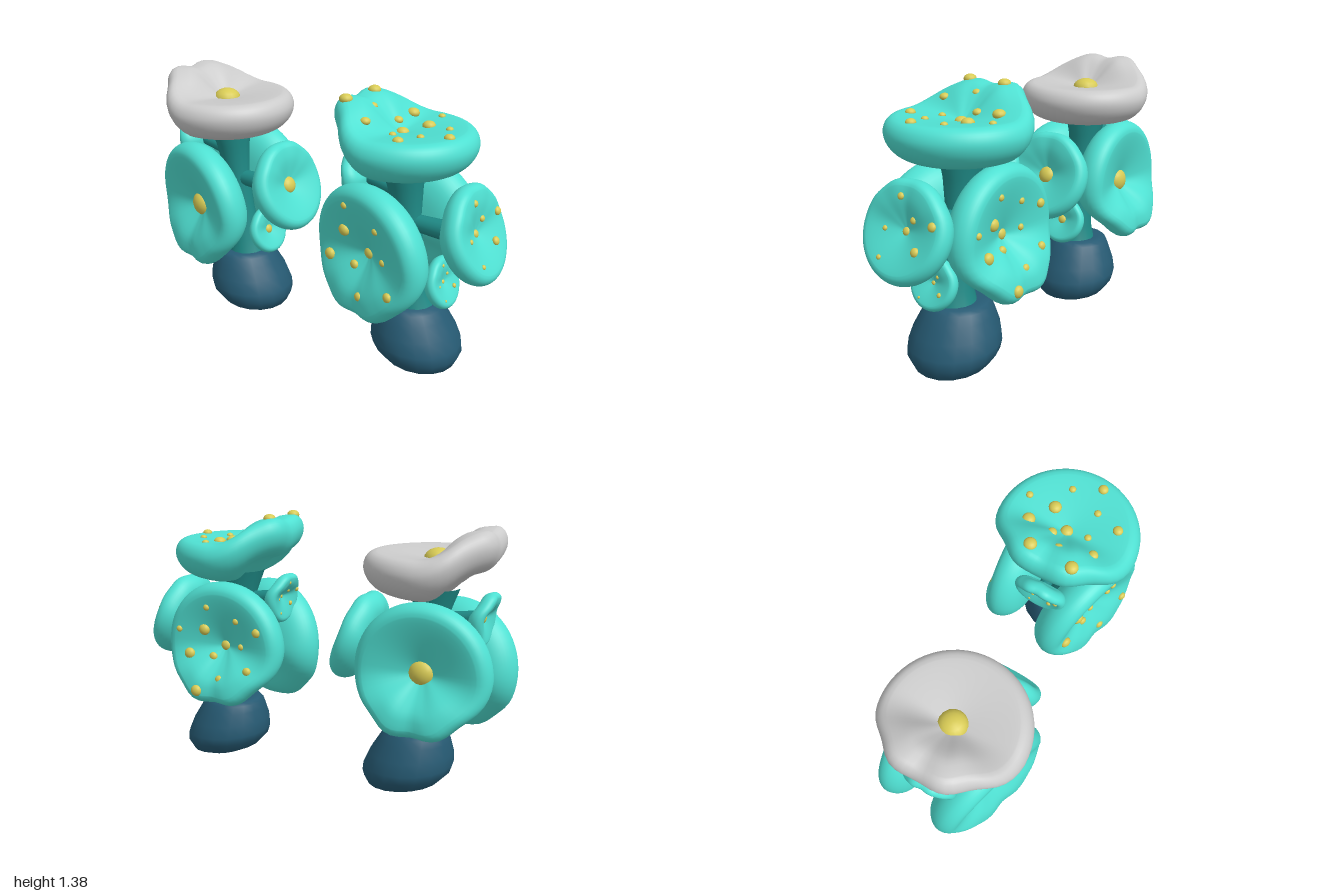
import * as THREE from 'three';
import { mergeVertices } from 'three/addons/utils/BufferGeometryUtils.js';

const mat = (color) => new THREE.MeshStandardMaterial({ color });
const TEAL = mat(0x4fe0d2), GREY = mat(0xcccccc), STEM = mat(0x1f8a86), POT = mat(0x265a73), GOLD = mat(0xd8cb55);
const V = (a) => new THREE.Vector3(...a);
const profile = (points) => points.map((p) => new THREE.Vector2(...p));

function addMesh(parent, name, geometry, material) {
  const m = new THREE.Mesh(geometry, material);
  m.name = name;
  parent.add(m);
  return m;
}

// Lathe welded along its seam, with every vertex moved by a rule
function warpedLathe(points, segments, rule) {
  let g = new THREE.LatheGeometry(points, segments);
  g.deleteAttribute('uv');
  g.deleteAttribute('normal');
  const p = g.attributes.position, v = new THREE.Vector3();
  for (let i = 0; i < p.count; i++) {
    rule(v.fromBufferAttribute(p, i));
    p.setXYZ(i, v.x, v.y, v.z);
  }
  g = mergeVertices(g, 1e-5);
  g.computeVertexNormals();
  return g;
}

// Unit pad: dished top, thick round rim, one sector (towards -z) folded up
const dishHeight = (r, dish) => -dish * Math.pow(Math.max(0, 1 - r / 0.82), 1.35);
const lobe = (x, z) => 1 - THREE.MathUtils.smoothstep(Math.abs(Math.atan2(x, -z)), 0.5, 1.6);
function foldHeight(x, z, lift) {
  const r = Math.hypot(x, z), a = Math.atan2(x, -z);
  const rise = lift * lobe(x, z) * THREE.MathUtils.smoothstep(r, 0, 0.65);
  const notch = 0.1 * lift * Math.exp(-Math.pow(a / 0.2, 2)) * r;
  const ripple = 0.012 * Math.cos(a * 9) * lobe(x, z) * r;
  return rise - notch - ripple;
}

function padGeometry(dish, lift) {
  const rim = profile([[0, -0.62], [0.3, -0.6], [0.6, -0.57], [0.82, -0.49], [0.95, -0.36], [1, -0.21], [0.97, -0.09], [0.9, -0.02], [0.82, 0]]);
  const pts = new THREE.SplineCurve(rim).getPoints(24);
  for (let i = 10; i >= 0; i--) pts.push(new THREE.Vector2(i * 0.075, dishHeight(i * 0.075, dish)));
  return warpedLathe(pts, 56, (v) => {
    if (Math.hypot(v.x, v.z) < 1e-4) return;
    const a = Math.atan2(v.x, -v.z);
    const shrink = 1 - (0.42 + 0.1 * Math.cos(a * 7)) * lift * lobe(v.x, v.z);
    v.y += foldHeight(v.x, v.z, lift);
    v.x *= shrink;
    v.z *= shrink;
  });
}

// Pads: rim centre, radius, facing direction, fold direction, dish depth, fold lift, spot count
const UP = [0, 1, 0], DOWN = [0, -1, 0];
const PADS = [
  { name: 'cap', at: [-0.01, 1.24, 0.465], R: 0.36, n: UP, l: [0, 0, -1], dish: 0.1, lift: 0.33, spots: 14 },
  { name: 'leftPad', at: [0.275, 0.695, 0.455], R: 0.34, n: [1, 0, 0], l: DOWN, dish: 0.22, lift: 0.28, spots: 12 },
  { name: 'rightPad', at: [-0.255, 0.63, 0.395], R: 0.35, n: [-0.95, -0.1, -0.28], l: DOWN, dish: 0.2, lift: 0.2, spots: 9 },
  { name: 'frontPad', at: [0, 0.805, 0.905], R: 0.243, n: [0, 0.43, 1], l: UP, dish: 0.2, lift: 0.1, spots: 7 },
  { name: 'lowerFrontPad', at: [0.007, 0.498, 0.735], R: 0.134, n: [0, 0.35, 1], l: UP, dish: 0.2, lift: 0.1, spots: 6 },
  { name: 'backPad', at: [0, 0.94, 0.2], R: 0.14, n: [0, -0.05, -1], l: UP, dish: 0.26, lift: 0.22, spots: 7 },
];

function createPad(d, material, spotted) {
  const group = new THREE.Group();
  group.name = d.name;
  const y = V(d.n).normalize();
  const x = V(d.l).cross(y).normalize();
  const z = x.clone().cross(y);
  group.quaternion.setFromRotationMatrix(new THREE.Matrix4().makeBasis(x, y, z));
  group.position.set(...d.at);
  addMesh(group, d.name + 'Body', padGeometry(d.dish, d.lift), material).scale.setScalar(d.R);

  // A spiral scatter of spots in mixed sizes, or one large central bead
  const count = spotted ? d.spots : 1;
  for (let i = 0; i < count; i++) {
    const r = i === 0 ? 0 : 0.8 * Math.sqrt(i / count), a = i * 2.4;
    const u = r * Math.sin(a), v = r * Math.cos(a);
    const size = spotted ? 0.05 + 0.02 * ((i * 2 + 2) % 3) : 0.2;
    const s = addMesh(group, 'spot', new THREE.SphereGeometry(size * d.R, 16, 10), GOLD);
    const fold = r > 0 ? foldHeight(u, v, d.lift) : 0;
    s.position.set(u, dishHeight(r, d.dish) + fold, v).multiplyScalar(d.R);
    s.scale.y = 0.75;
  }
  return group;
}

function createPlant(name, capMaterial, spotted) {
  const plant = new THREE.Group();
  plant.name = name;

  // Heavy rounded base, leaning and tilted towards the front at the bottom
  const base = profile([[0, 0.008], [0.11, 0.014], [0.19, 0.05], [0.228, 0.105], [0.232, 0.15], [0.215, 0.215],
    [0.183, 0.285], [0.163, 0.325], [0.145, 0.342], [0.11, 0.347], [0, 0.347]]);
  addMesh(plant, 'base', warpedLathe(base, 18, (v) => {
    const low = 1 - v.y / 0.347;
    v.y -= 0.12 * low * v.z;
    v.x += 0.01;
    v.z += 0.535 + 0.075 * low;
  }), POT);

  // Stem, flaring into the base and under the cap
  const stem = profile([[0.11, 0.33], [0.085, 0.42], [0.07, 0.6], [0.07, 0.8], [0.09, 0.95], [0.12, 1.07]]);
  addMesh(plant, 'stem', warpedLathe(stem, 16, (v) => {
    v.z += 0.56 - 0.09 * (v.y - 0.33) / 0.74;
  }), STEM);

  // Pads, each side one joined to the stem by a short branch
  PADS.forEach((d, i) => {
    plant.add(createPad(d, i === 0 ? capMaterial : TEAL, spotted));
    if (i === 0) return;
    const end = V(d.at).addScaledVector(V(d.n).normalize(), -0.45 * d.R);
    const start = new THREE.Vector3(0, d.at[1] - 0.04, 0.51);
    const dir = end.clone().sub(start);
    const branch = addMesh(plant, 'branch', new THREE.CylinderGeometry(d.R * 0.22, 0.04, dir.length(), 12), STEM);
    branch.position.copy(start).addScaledVector(dir, 0.5);
    branch.quaternion.setFromUnitVectors(V(UP), dir.normalize());
  });
  return plant;
}

export function createModel() {
  const model = new THREE.Group();
  model.name = 'padPlants';
  const back = createPlant('backPlant', GREY, false);
  back.position.z = -1.09;
  model.add(createPlant('frontPlant', TEAL, true), back);
  return model;
}
